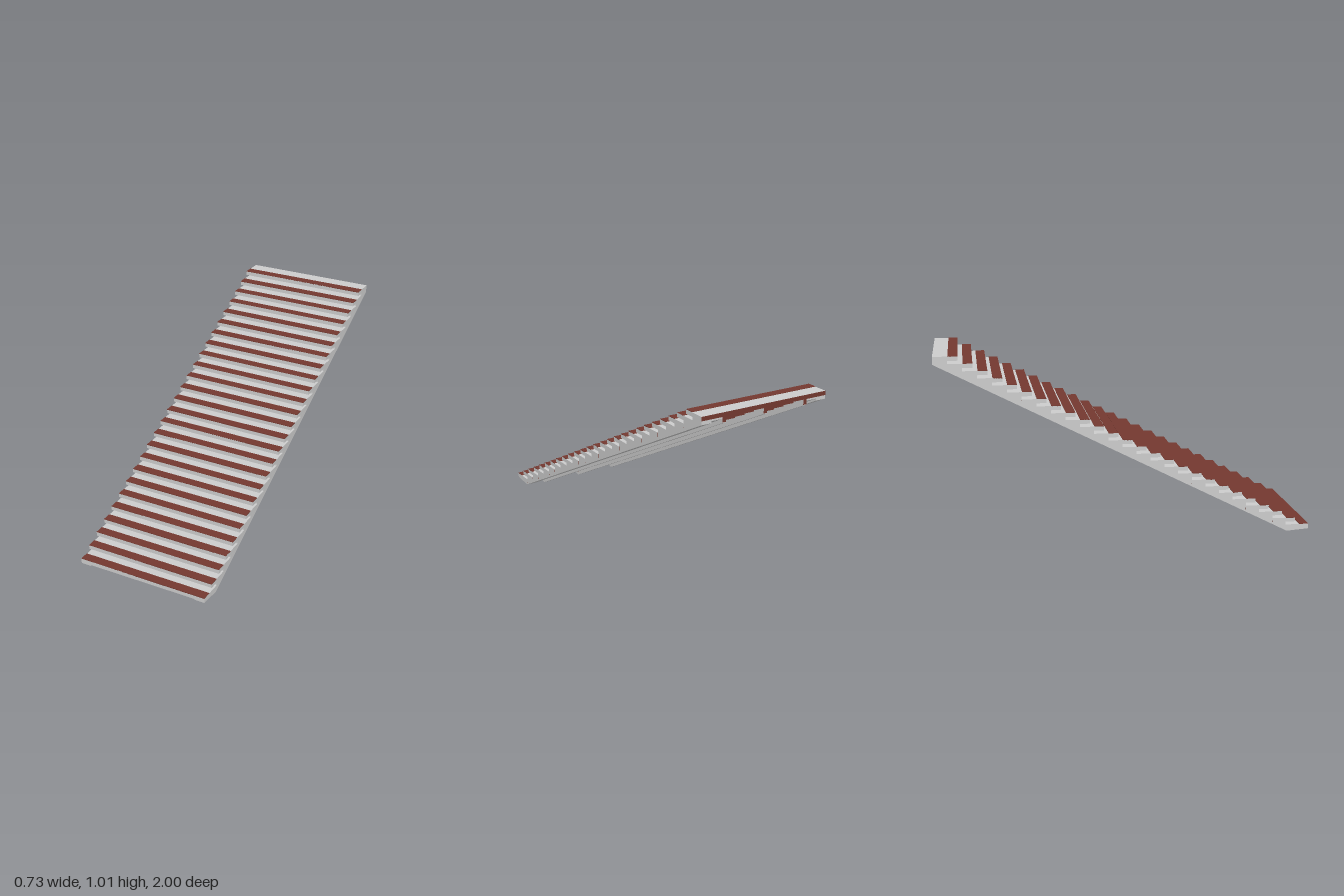
import * as THREE from 'three';

const STEPS = 26, RUN = 0.0749, RISE = 0.0384;
const DEPTH = 0.1275, THICK = 0.022, HALF = 0.367;
const SLOPE = 0.955 / 1.88;

const front = (k) => 1 - k * RUN;         // nosing of tread k
const rear = (k) => front(k) - DEPTH;     // back edge of tread k
const under = (k) => 0.025 + k * RISE;    // underside of tread k

export function createModel() {
  const model = new THREE.Group();
  const grey = new THREE.MeshStandardMaterial({ color: 0xcccccc });
  const brown = new THREE.MeshStandardMaterial({ color: 0x73382f });

  // Extrudes a side profile of [z, y] points across x, from x0 to x0 + width
  function addProfile(name, points, x0, width, material) {
    const shape = new THREE.Shape(points.map(([z, y]) => new THREE.Vector2(z, y)));
    const geo = new THREE.ExtrudeGeometry(shape, { depth: width, bevelEnabled: false });
    geo.rotateY(-Math.PI / 2).translate(x0 + width, 0, 0);
    const mesh = new THREE.Mesh(geo, material);
    mesh.name = name;
    model.add(mesh);
  }

  // Stepped profile over a straight sloping base; brackets reach out under each nosing
  function stepped(base, foot, brackets) {
    const end = rear(STEPS - 1);
    const points = [[end, base + SLOPE * (0.88 - end)], [0.88, base], ...foot];
    for (let k = 0; k < STEPS; k++) {
      points.push([rear(k), under(k)]);
      if (k === STEPS - 1) break;
      if (brackets) {
        points.push([rear(k), under(k) + THICK], [front(k + 1) - 0.012, under(k + 1)]);
      } else {
        points.push([rear(k), under(k + 1)]);
      }
    }
    return points;
  }

  // Treads: grey top, nosing and ends, brown back and underside
  const treadGeo = new THREE.BoxGeometry(2 * HALF, THICK, DEPTH);
  const treadMaterials = [grey, grey, grey, brown, grey, brown];
  const stripGeo = new THREE.BoxGeometry(2 * HALF, 0.004, 0.05);
  for (let k = 0; k < STEPS; k++) {
    const tread = new THREE.Mesh(treadGeo, treadMaterials);
    tread.name = 'tread';
    tread.position.set(0, under(k) + THICK / 2, front(k) - DEPTH / 2);
    const strip = new THREE.Mesh(stripGeo, brown);
    strip.name = 'nosingStrip';
    strip.position.set(0, under(k) + THICK, front(k) - 0.025);
    model.add(tread, strip);
  }

  // Outer stringers with a recessed stepped plate on their inner side
  const wedge = [[1, 0.02], [1, 0.025]];
  const outer = stepped(0.011, wedge, false);
  const plate = stepped(0.021, [[0.88, 0.025]], false);
  for (const side of [1, -1]) {
    const at = (x, w) => (side > 0 ? x : -x - w);
    addProfile('outerStringer', outer, at(0.31, 0.056), 0.056, grey);
    addProfile('innerPlate', plate, at(0.25, 0.06), 0.06, grey);
  }

  // Three slim carriers with tread brackets and a grey bottom flange
  const carrier = stepped(0.003, [[0.995, 0.025]], true);
  const end = rear(STEPS - 1);
  const endY = SLOPE * (0.88 - end);
  const flange = [[end, endY], [0.88, 0], [0.88, 0.003], [end, endY + 0.003]];
  for (const x of [-0.24, 0, 0.24]) {
    addProfile('carrier', carrier, x - 0.01, 0.02, [grey, brown]);
    addProfile('carrierFlange', flange, x - 0.01, 0.02, grey);
  }

  return model;
}
